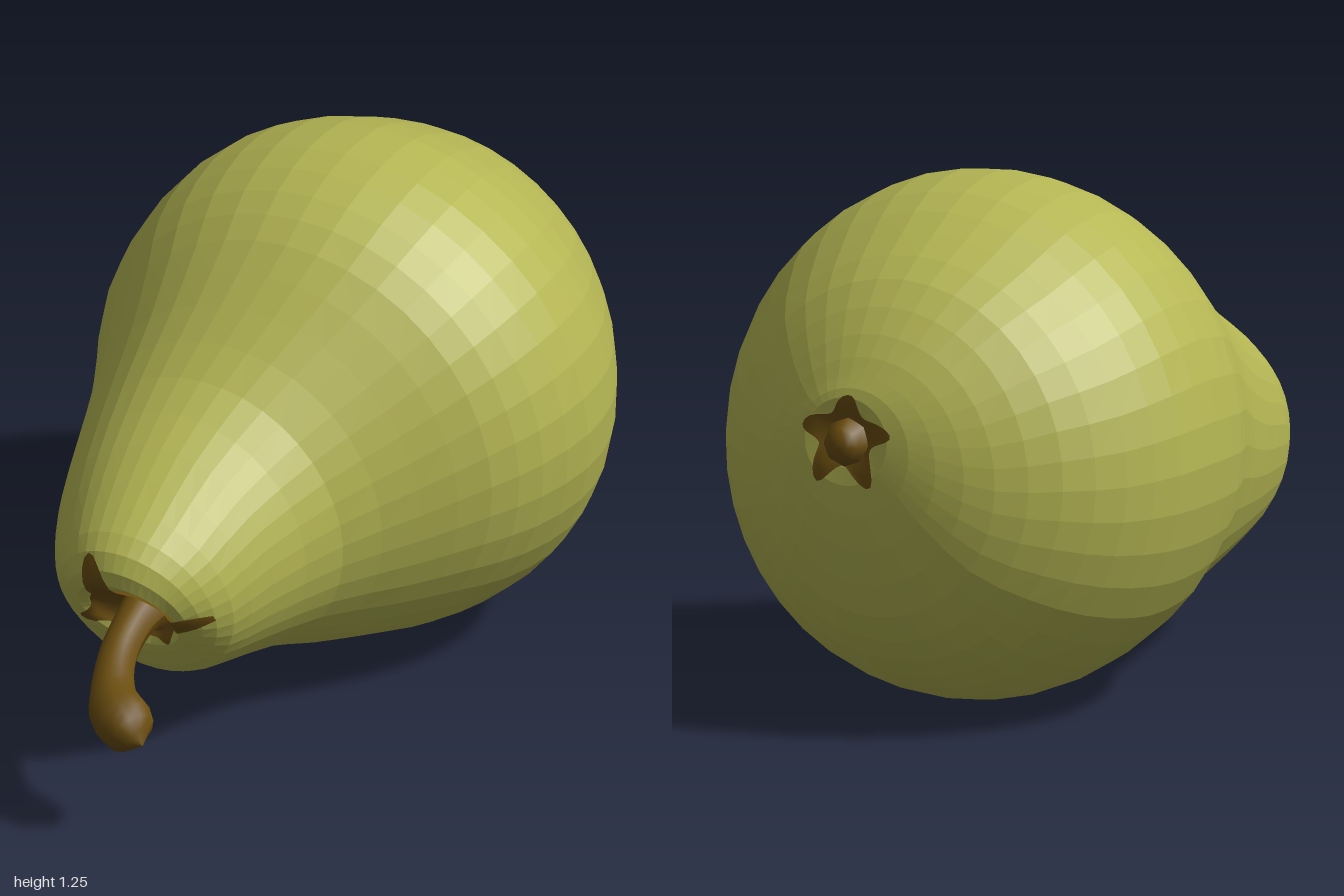
import * as THREE from 'three';

const skin = new THREE.MeshStandardMaterial({ color: 0xb5b653, flatShading: true });
skin.name = 'green skin';
const bark = new THREE.MeshStandardMaterial({ color: 0x6b4e10, side: THREE.DoubleSide });
bark.name = 'brown stem';

// Tilted oval sections, stem end to blossom end:
// top z, top y, bottom z, bottom y, low x, high x
const rows = [
  [0.53, 0.432, 0.528, 0.428, -0.09, -0.085],
  [0.64, 0.50, 0.545, 0.36, -0.19, 0.00],
  [0.71, 0.54, 0.56, 0.32, -0.23, 0.03],
  [0.69, 0.62, 0.53, 0.27, -0.29, 0.08],
  [0.60, 0.69, 0.48, 0.21, -0.345, 0.13],
  [0.45, 0.785, 0.40, 0.185, -0.40, 0.18],
  [0.28, 0.89, 0.20, 0.145, -0.455, 0.265],
  [0.13, 1.02, 0.05, 0.10, -0.495, 0.395],
  [0.00, 1.14, -0.08, 0.07, -0.545, 0.515],
  [-0.12, 1.215, -0.22, 0.03, -0.60, 0.585],
  [-0.27, 1.26, -0.39, 0.01, -0.62, 0.62],
  [-0.45, 1.245, -0.53, 0.03, -0.61, 0.60],
  [-0.61, 1.18, -0.68, 0.09, -0.55, 0.53],
  [-0.75, 1.10, -0.81, 0.185, -0.45, 0.44],
  [-0.86, 0.99, -0.90, 0.31, -0.32, 0.32],
  [-0.92, 0.90, -0.95, 0.48, -0.19, 0.22],
  [-0.945, 0.85, -0.965, 0.64, -0.07, 0.15],
  [-0.935, 0.80, -0.945, 0.71, -0.01, 0.09],
  [-0.925, 0.757, -0.925, 0.753, 0.038, 0.042],
];
const LAST = rows.length - 1;
const curve = (f) => new THREE.CatmullRomCurve3(
  rows.map((r) => new THREE.Vector3(...f(r))), false, 'catmullrom', 0.5);
const upper = curve((r) => [r[0], r[1], r[4]]);
const lower = curve((r) => [r[2], r[3], r[5]]);

// Point on the skin at section t (0..LAST) and angle a
function skinPoint(t, a) {
  const k = THREE.MathUtils.clamp(t / LAST, 0, 1);
  const u = upper.getPoint(k), l = lower.getPoint(k);
  const c = Math.cos(a), s = Math.sin(a);
  return new THREE.Vector3(
    (u.z + l.z) / 2 + c * (l.z - u.z) / 2,
    (u.y + l.y) / 2 + s * (u.y - l.y) / 2,
    (u.x + l.x) / 2 + s * (u.x - l.x) / 2);
}

// Slightly raised point, for patches lying on the skin
function raisedPoint(t, a, lift) {
  const e = 0.02;
  const p = skinPoint(t, a);
  const dt = skinPoint(t + e, a).sub(skinPoint(t - e, a));
  const da = skinPoint(t, a + e).sub(skinPoint(t, a - e));
  return p.addScaledVector(dt.cross(da).normalize(), lift);
}

// Closed loops of points joined into a surface
function loft(rings, sides, point) {
  const pos = [], index = [];
  for (let i = 0; i <= rings; i++) {
    for (let j = 0; j < sides; j++) {
      const p = point(i / rings, j / sides * Math.PI * 2);
      pos.push(p.x, p.y, p.z);
      if (i === rings) continue;
      const a = i * sides + j, b = i * sides + (j + 1) % sides;
      index.push(a, a + sides, b + sides, a, b + sides, b);
    }
  }
  const g = new THREE.BufferGeometry();
  g.setAttribute('position', new THREE.Float32BufferAttribute(pos, 3));
  g.setIndex(index);
  g.computeVertexNormals();
  return g;
}

// Height of a lobed outline at angle a; lobes are [degrees, height, width]
function lobed(a, base, lobes) {
  return lobes.reduce((sum, [deg, h, w]) => {
    const d = a - THREE.MathUtils.degToRad(deg);
    const near = Math.atan2(Math.sin(d), Math.cos(d)) / w;
    return sum + h * Math.exp(-near * near);
  }, base);
}

function makeStem() {
  const path = new THREE.CatmullRomCurve3([
    [-0.085, 0.43, 0.50], [-0.085, 0.415, 0.63], [-0.07, 0.375, 0.75],
    [-0.02, 0.325, 0.86], [0.05, 0.295, 0.915], [0.10, 0.275, 0.94],
  ].map((p) => new THREE.Vector3(...p)));
  const radii = [0.085, 0.075, 0.055, 0.048, 0.046, 0.046, 0.047, 0.05, 0.055, 0.066, 0.071, 0.06, 0];
  const steps = (radii.length - 1) * 2, sides = 12;
  const g = new THREE.TubeGeometry(path, steps, 1, sides);
  const pos = g.attributes.position, v = new THREE.Vector3();
  for (let i = 0; i < pos.count; i++) {
    const ring = Math.floor(i / (sides + 1));
    const k = ring / 2, lo = Math.floor(k), hi = Math.min(lo + 1, radii.length - 1);
    const c = path.getPointAt(ring / steps);
    v.fromBufferAttribute(pos, i).sub(c)
      .multiplyScalar(THREE.MathUtils.lerp(radii[lo], radii[hi], k - lo)).add(c);
    pos.setXYZ(i, v.x, v.y, v.z);
  }
  g.computeVertexNormals();
  return g;
}

export function createModel() {
  const group = new THREE.Group();
  group.name = 'pear';
  const add = (name, geometry, material) => {
    const mesh = new THREE.Mesh(geometry, material);
    mesh.name = name;
    group.add(mesh);
    return mesh;
  };

  add('body', loft(LAST * 2, 40, (s, a) => skinPoint(s * LAST, a)), skin);

  // Brown lining of the stem hollow with ragged lobes
  const frontLobes = [[112, 1.5, 0.3], [202, 0.9, 0.22], [2, 2.1, 0.17], [252, 1.4, 0.24], [310, 0.5, 0.25]];
  add('stemHollow', loft(12, 80, (s, a) =>
    raisedPoint(0.05 + s * lobed(a, 1.4, frontLobes), a, 0.007)), bark);

  add('stem', makeStem(), bark);

  // Five-pointed dry blossom scar on the rounded end
  const backLobes = [20, 92, 164, 236, 308].map((d) => [d, 0.8, 0.38]);
  add('blossomScar', loft(8, 60, (s, a) =>
    raisedPoint(LAST - 0.05 - (1 - s) * lobed(a, 1.3, backLobes), a, 0.007)), bark);

  // Dry blossom tip
  const tip = new THREE.LatheGeometry(
    [[0.065, 0], [0.06, 0.03], [0.045, 0.06], [0.025, 0.078], [0, 0.08]]
      .map((p) => new THREE.Vector2(...p)), 8);
  const nub = add('blossomTip', tip, bark);
  nub.rotation.x = -Math.PI / 2;
  nub.position.set(0.04, 0.74, -0.92);

  return group;
}
